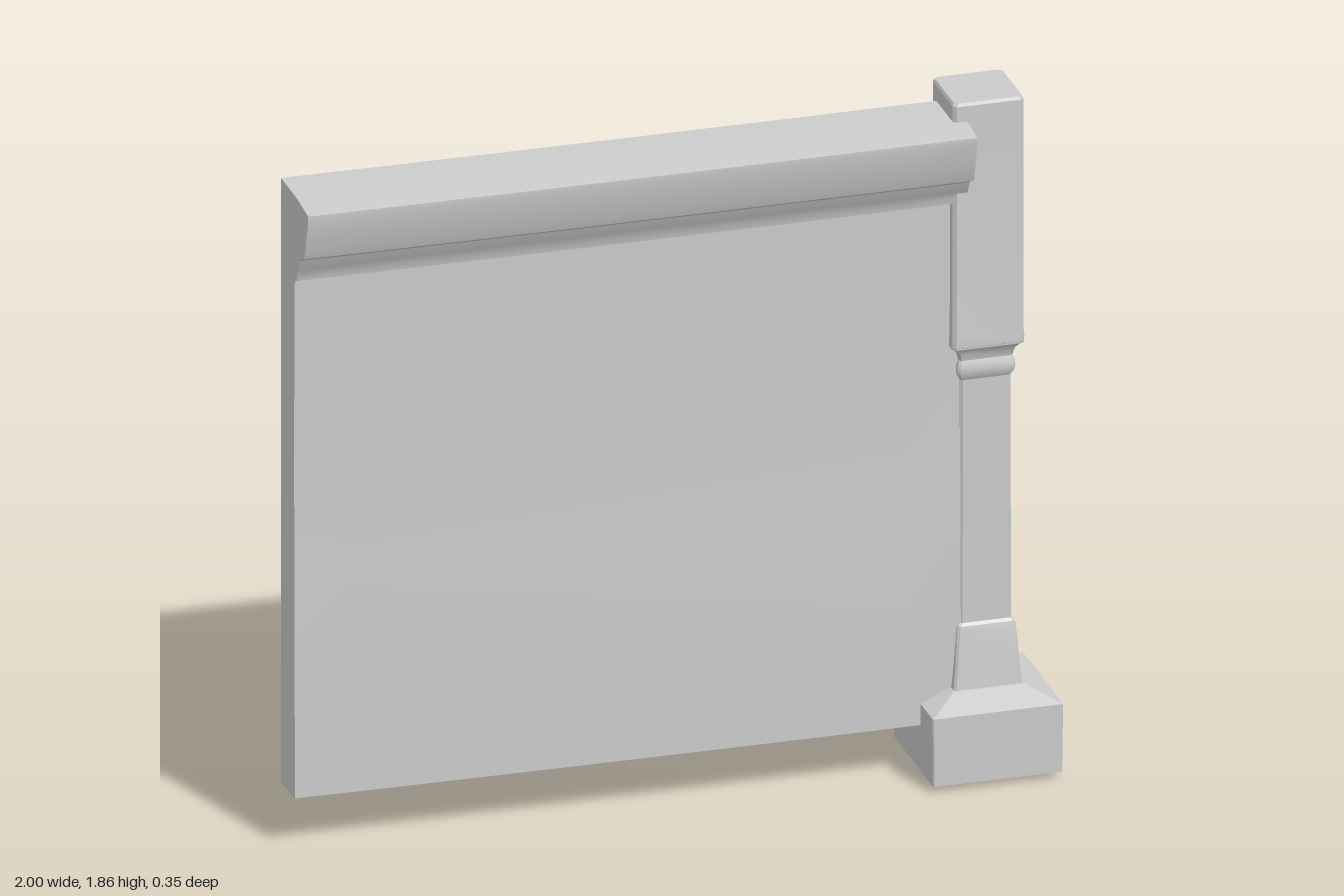
import * as THREE from 'three';
import { toCreasedNormals } from 'three/addons/utils/BufferGeometryUtils.js';

const material = new THREE.MeshStandardMaterial({ color: 0xcccccc });

function addMesh(group, name, geometry, crease) {
  const mesh = new THREE.Mesh(toCreasedNormals(geometry, crease), material);
  mesh.name = name;
  group.add(mesh);
}

// Square turned section: profile of [half width, height], corners cut by chamfer
function squareLathe(profile, chamfer) {
  const geometry = new THREE.LatheGeometry(profile.map(([h, y]) => new THREE.Vector2(h, y)), 8);
  const pos = geometry.attributes.position;
  const rows = profile.length;
  for (let i = 0; i < pos.count; i++) {
    const side = Math.floor(i / rows) % 8;
    const h = profile[i % rows][0];
    const a = Math.max(h - chamfer, 0);
    const corners = [[-a, h], [a, h], [h, a], [h, -a], [a, -h], [-a, -h], [-h, -a], [-h, a]];
    pos.setX(i, corners[side][0]);
    pos.setZ(i, corners[side][1]);
  }
  return geometry;
}

// Cross-section of [z, y] points run along x, following the wall's slight bow
function run(section, x0, x1) {
  const shape = new THREE.Shape(section.map(([z, y]) => new THREE.Vector2(-z, y)));
  const geometry = new THREE.ExtrudeGeometry(shape, { depth: x1 - x0, steps: 12, bevelEnabled: false });
  geometry.rotateY(Math.PI / 2).translate(x0, 0, 0);
  const pos = geometry.attributes.position;
  for (let i = 0; i < pos.count; i++) {
    const t = (0.77 - pos.getX(i)) / 1.77;
    pos.setZ(i, pos.getZ(i) - 0.017 * t * t);
  }
  return geometry;
}

export function createModel() {
  const model = new THREE.Group();
  model.name = 'wallSectionWithPost';

  // Post: plinth, flared foot, slim shaft, ringed neck and square head
  const post = new THREE.Group();
  post.name = 'post';
  post.position.set(0.827, 0, -0.005);
  addMesh(post, 'plinth', squareLathe([
    [0, 0], [0.1, 0], [0.171, 0.018], [0.173, 0.205], [0.094, 0.24], [0, 0.24],
  ], 0.003), 0.15);
  addMesh(post, 'shaft', squareLathe([
    [0.092, 0.235], [0.085, 0.3], [0.078, 0.395], [0.075, 0.408], [0.068, 0.415],
    [0.067, 1.085], [0.073, 1.095], [0.077, 1.11], [0.076, 1.125], [0.071, 1.14],
    [0.076, 1.16], [0.09, 1.178], [0.096, 1.185],
  ], 0.006), 0.5);
  addMesh(post, 'head', squareLathe([
    [0, 1.18], [0.095, 1.18], [0.096, 1.2], [0.094, 1.22], [0.094, 1.852], [0.09, 1.86], [0, 1.86],
  ], 0.009), 0.4);
  model.add(post);

  // Flat wall panel
  addMesh(model, 'wallPanel', run([
    [-0.06, 0.14], [0.06, 0.146], [0.058, 0.8], [0.052, 1.1], [0.058, 1.4], [0.06, 1.65], [-0.06, 1.65],
  ], -1, 0.765), 0.4);

  // Moulded ledge along the top
  addMesh(model, 'ledge', run([
    [-0.06, 1.64], [0.058, 1.575], [0.078, 1.582], [0.083, 1.605], [0.092, 1.618],
    [0.108, 1.65], [0.125, 1.662], [0.142, 1.668], [0.15, 1.687], [0.161, 1.73],
    [0.175, 1.785], [0.175, 1.8], [0.08, 1.81], [-0.06, 1.81],
  ], -1, 0.77), 0.4);

  return model;
}
